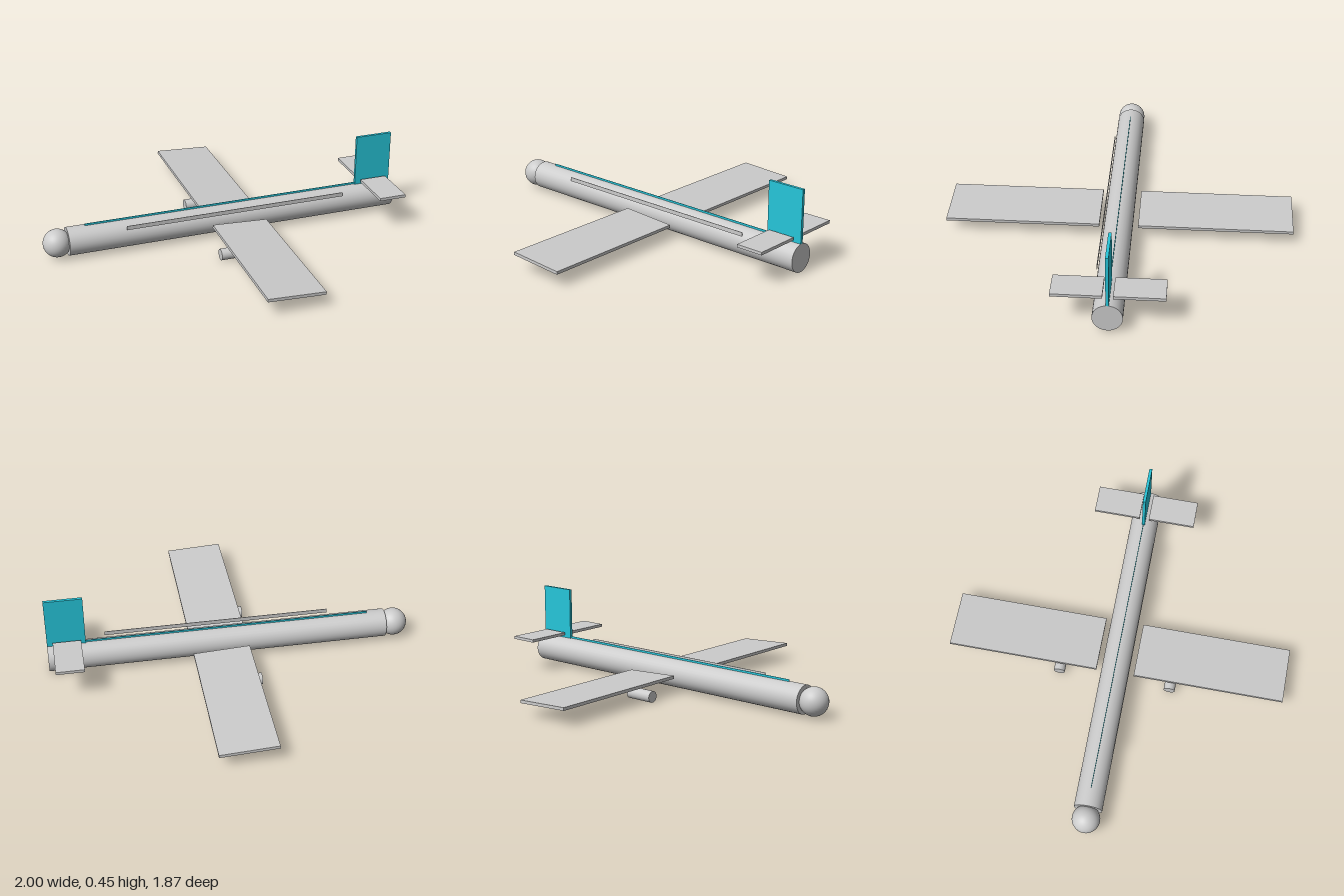
import * as THREE from 'three';

const grey = new THREE.MeshStandardMaterial({ color: 0xcccccc });
const cyan = new THREE.MeshStandardMaterial({ color: 0x26c6da });

export function createModel() {
  const model = new THREE.Group();

  const add = (name, geometry, x, y, z, material = grey) => {
    const mesh = new THREE.Mesh(geometry, material);
    mesh.name = name;
    mesh.position.set(x, y, z);
    model.add(mesh);
    return mesh;
  };
  const box = (w, h, d) => new THREE.BoxGeometry(w, h, d);
  // Cylinder lying along x
  const tube = (radius, length) =>
    new THREE.CylinderGeometry(radius, radius, length, 32).rotateZ(Math.PI / 2);

  // Body, with the nose towards -x
  add('fuselage', tube(0.077, 1.87), 0.065, 0.087, 0);
  add('nose', new THREE.SphereGeometry(0.076, 32, 20), -0.924, 0.087, 0);

  // Tail fin and the thin stripes along the body
  add('tailFin', box(0.208, 0.29, 0.016), 0.896, 0.307, 0, cyan);
  add('spineStripe', box(1.67, 0.024, 0.003), 0.065, 0.163, 0, cyan);
  add('sideStripe', box(1.245, 0.023, 0.003), 0.062, 0.15, 0.077);

  // Paired wings, engines and tailplanes
  for (const [side, s] of [['left', -1], ['right', 1]]) {
    const wing = add(`${side}Wing`, box(0.31, 0.0165, 0.83), 0.065, 0.086, s * 0.52);
    wing.rotation.z = -0.052;
    add(`${side}Engine`, tube(0.031, 0.155), -0.04, 0.032, s * 0.311);
    add(`${side}Tailplane`, box(0.152, 0.016, 0.258), 0.893, 0.19, s * 0.156);
  }

  return model;
}
